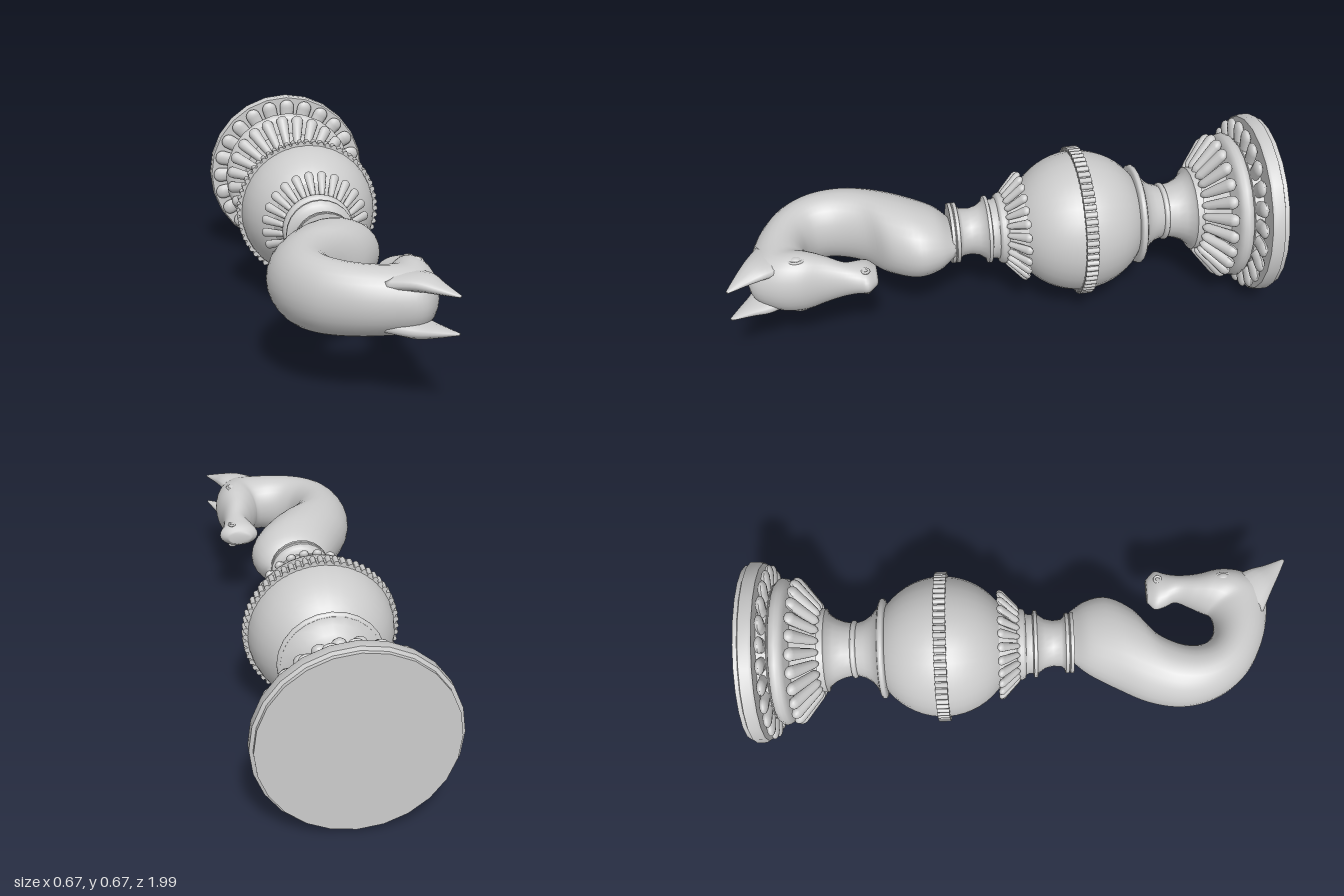
import * as THREE from 'three';
import { mergeGeometries, toCreasedNormals } from 'three/addons/utils/BufferGeometryUtils.js';

const material = new THREE.MeshStandardMaterial({ color: 0xcccccc });
const TAU = Math.PI * 2;

// Profile of [radius, z] pairs turned around the z axis
function turned(profile, segments = 24) {
  const points = profile.map(([r, z]) => new THREE.Vector2(r, z));
  const g = new THREE.LatheGeometry(points, segments).rotateX(Math.PI / 2);
  return toCreasedNormals(g, 0.7);
}

// Bead ring of half-round section, as profile points
function bead(z, r, h, n = 6) {
  return Array.from({ length: n + 1 }, (_, i) => {
    const a = -Math.PI / 2 + (Math.PI * i) / n;
    return [r + h * Math.cos(a), z + h * Math.sin(a)];
  });
}

// Copies of one geometry spaced around the z axis
function around(geometry, count, offset = 0) {
  return mergeGeometries(Array.from({ length: count }, (_, i) =>
    geometry.clone().rotateZ(((i + offset) * TAU) / count)));
}

// Round-ended tapering petal running from [r, z] inside to [r, z] outside
function petal([r0, z0], [r1, z1], width, rootScale, flat) {
  const length = Math.hypot(r1 - r0, z1 - z0);
  const g = new THREE.CapsuleGeometry(width, length - 2 * width, 5, 12);
  const p = g.attributes.position;
  for (let i = 0; i < p.count; i++) {
    const t = p.getY(i) / length + 0.5;
    p.setX(i, p.getX(i) * THREE.MathUtils.lerp(rootScale, 1, t));
    p.setZ(i, p.getZ(i) * flat);
  }
  g.computeVertexNormals();
  return g.rotateX(Math.atan2(z1 - z0, r1 - r0)).translate(0, (r0 + r1) / 2, (z0 + z1) / 2);
}

// Smooth skin over elliptical sections: [outerX, outerZ, innerX, innerZ, halfHeight, centreY]
function loft(rows, steps, sides = 28) {
  const outer = new THREE.CatmullRomCurve3(rows.map(r => new THREE.Vector3(r[0], r[5] || 0, r[1])));
  const inner = new THREE.CatmullRomCurve3(rows.map(r => new THREE.Vector3(r[2], r[4], r[3])));
  const pos = [], index = [];
  for (let i = 0; i <= steps; i++) {
    const o = outer.getPoint(i / steps), n = inner.getPoint(i / steps);
    for (let j = 0; j < sides; j++) {
      const c = Math.cos((j * TAU) / sides), s = Math.sin((j * TAU) / sides);
      pos.push((o.x + n.x) / 2 + ((n.x - o.x) / 2) * c, o.y + n.y * s, (o.z + n.z) / 2 + ((n.z - o.z) / 2) * c);
      if (i === steps) continue;
      const a = i * sides + j, b = i * sides + ((j + 1) % sides);
      index.push(a, b, a + sides, b, b + sides, a + sides);
    }
  }
  // End caps
  const last = steps * sides;
  for (let j = 1; j < sides - 1; j++) index.push(0, j + 1, j, last, last + j, last + j + 1);
  const g = new THREE.BufferGeometry();
  g.setAttribute('position', new THREE.Float32BufferAttribute(pos, 3));
  g.setIndex(index);
  g.computeVertexNormals();
  return g;
}

export function createModel() {
  const model = new THREE.Group();
  model.name = 'horseHeadFinial';
  const axis = new THREE.Group();
  axis.name = 'finialOnItsSide';
  axis.position.y = 0.335;
  model.add(axis);
  const add = (name, geometry) => {
    const mesh = new THREE.Mesh(geometry, material);
    mesh.name = name;
    axis.add(mesh);
    return mesh;
  };

  // Foot: plate, raised petals, round moulding and fluted flare
  add('basePlate', turned([[0, -1], [0.322, -1], [0.322, -0.985], [0.334, -0.98], [0.334, -0.945],
    [0.328, -0.935], [0.25, -0.935], [0.25, -0.9], [0.2, -0.88]]));
  add('basePetals', around(petal([0.2, -0.915], [0.322, -0.915], 0.033, 0.7, 0.5), 24));
  add('baseMoulding', turned([[0.2, -0.91], [0.245, -0.905], ...bead(-0.868, 0.245, 0.027), [0.225, -0.835], [0.15, -0.82]]));
  add('flareCore', turned([[0.2, -0.85], [0.195, -0.83], [0.15, -0.79], [0.135, -0.73]]));
  add('flarePetals', around(petal([0.145, -0.735], [0.268, -0.83], 0.027, 0.5, 0.75), 24, 0.5));

  // Stem between the foot and the ball
  add('lowerStem', turned([[0.13, -0.74], [0.155, -0.74], [0.155, -0.715], [0.138, -0.71], [0.118, -0.685],
    [0.105, -0.655], [0.1, -0.63], ...bead(-0.615, 0.098, 0.01), [0.1, -0.6], [0.108, -0.575], [0.125, -0.55],
    [0.15, -0.53], [0.175, -0.52], ...bead(-0.508, 0.175, 0.011), [0.155, -0.495]]));

  // Ball with a ridged band
  const ball = [];
  for (let i = 0; i <= 18; i++) {
    const a = -1.0 + (2.1 * i) / 18;
    ball.push([0.26 * Math.cos(a), -0.29 + 0.26 * Math.sin(a)]);
  }
  add('ball', turned(ball, 32));
  add('ballBand', turned([[0.25, -0.31], [0.266, -0.31], [0.266, -0.27], [0.25, -0.27]], 48));
  add('bandRidges', around(new THREE.CylinderGeometry(0.01, 0.01, 0.044, 8)
    .rotateX(Math.PI / 2).translate(0, 0.266, -0.29), 64));

  // Petal collar and upper stem
  add('collarCore', turned([[0.16, -0.1], [0.15, -0.06], [0.125, -0.02], [0.12, 0]]));
  add('collarPetals', around(petal([0.12, -0.01], [0.2, -0.085], 0.019, 0.5, 0.7), 24, 0.5));
  add('upperStem', turned([[0.115, -0.03], ...bead(-0.003, 0.115, 0.018), [0.11, 0.025], [0.11, 0.04],
    [0.125, 0.044], [0.125, 0.056], [0.108, 0.062], [0.092, 0.085], [0.085, 0.115], [0.088, 0.145],
    [0.096, 0.155], [0.112, 0.16], [0.112, 0.172], [0.107, 0.175], [0.112, 0.178], [0.112, 0.19], [0, 0.19]]));

  // Curled neck flowing into the head, shoulder to muzzle
  add('neckAndHead', loft([
    [-0.07, 0.18, 0.12, 0.18, 0.05], [-0.12, 0.24, 0.158, 0.24, 0.105], [-0.18, 0.345, 0.17, 0.315, 0.135],
    [-0.235, 0.46, 0.118, 0.41, 0.143], [-0.256, 0.575, 0.02, 0.49, 0.138], [-0.24, 0.675, -0.032, 0.595, 0.132],
    [-0.197, 0.76, -0.028, 0.67, 0.127], [-0.128, 0.832, 0.005, 0.705, 0.122], [-0.012, 0.892, 0.048, 0.716, 0.116],
    [0.11, 0.918, 0.085, 0.71, 0.112], [0.2, 0.915, 0.1, 0.7, 0.112], [0.252, 0.84, 0.105, 0.69, 0.116],
    [0.266, 0.755, 0.115, 0.67, 0.11], [0.25, 0.665, 0.133, 0.635, 0.09], [0.25, 0.595, 0.152, 0.583, 0.066],
    [0.263, 0.54, 0.132, 0.54, 0.054], [0.274, 0.51, 0.123, 0.505, 0.046], [0.24, 0.473, 0.15, 0.475, 0.025],
  ], 80));

  // Mirrored ears, eyes and nostrils
  for (const side of [1, -1]) {
    const label = side > 0 ? 'upper' : 'lower';
    add(label + 'Ear', loft([
      [0.06, 0.885, 0.2, 0.76, 0.03, 0.068 * side], [0.15, 0.928, 0.24, 0.85, 0.027, 0.076 * side],
      [0.215, 0.962, 0.257, 0.91, 0.017, 0.069 * side], [0.276, 0.992, 0.285, 0.984, 0.004, 0.06 * side],
    ], 14, 14));
    const eye = add(label + 'Eye', new THREE.SphereGeometry(0.02, 14, 10));
    eye.scale.set(0.8, 0.6, 1.1);
    eye.position.set(0.2, 0.103 * side, 0.75);
    const lid = add(label + 'Eyelid', new THREE.TorusGeometry(0.022, 0.006, 6, 18).rotateX(Math.PI / 2));
    lid.scale.set(0.8, 1, 1.2);
    lid.position.copy(eye.position);
    const nostril = add(label + 'Nostril', new THREE.TorusGeometry(0.012, 0.005, 6, 14).rotateX(Math.PI / 2));
    nostril.position.set(0.225, 0.044 * side, 0.515);
  }
  return model;
}
